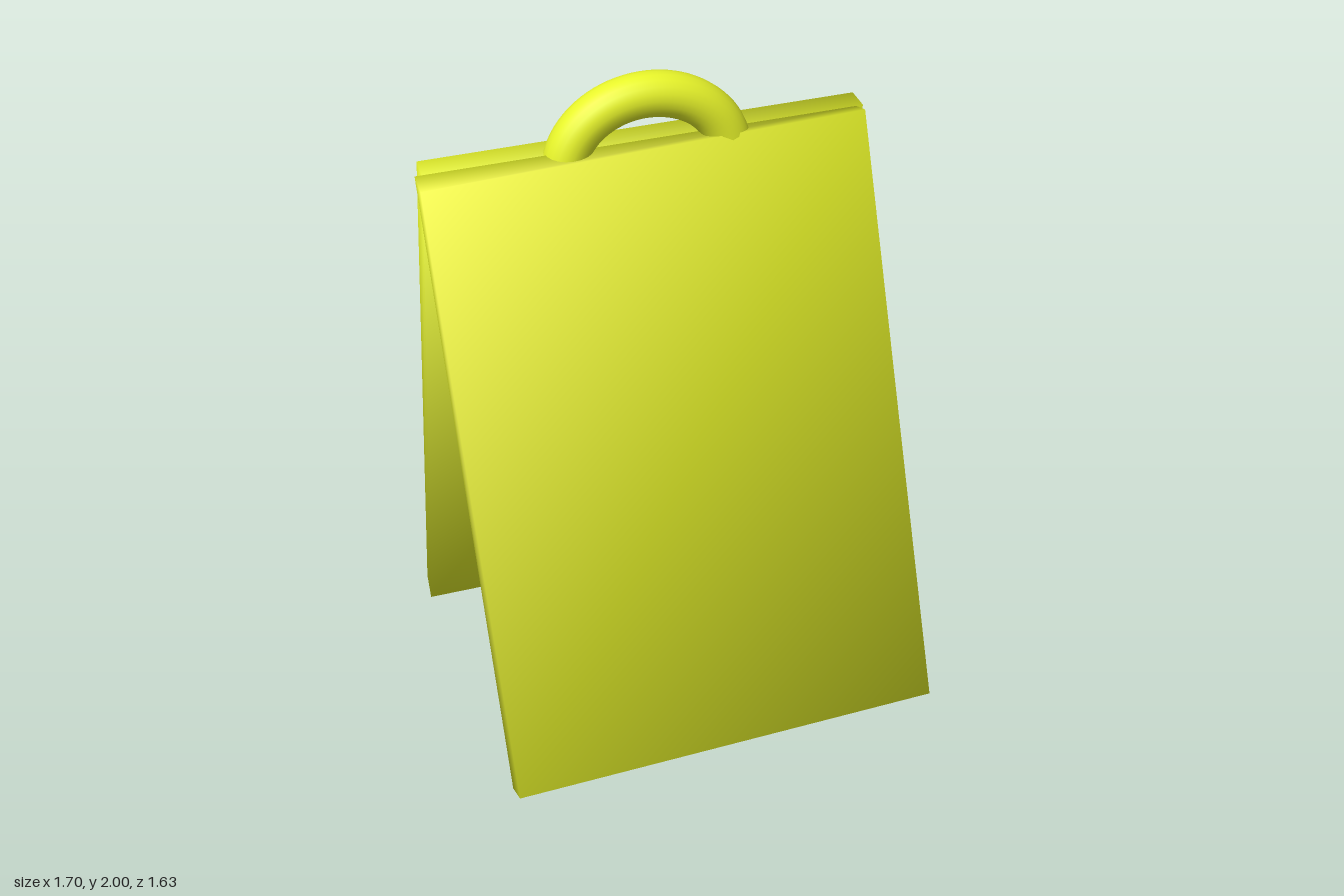
import * as THREE from 'three';

const material = new THREE.MeshStandardMaterial({ color: 0xe8f52a });

// Slab from eight corners, each face as [bottom left, bottom right, top left, top right],
// with normals averaged at the corners for soft shading.
function slab(name, back, front) {
  const geometry = new THREE.BoxGeometry(1, 1, 1);
  const pos = geometry.attributes.position;
  const ids = [];
  for (let i = 0; i < pos.count; i++) {
    const face = pos.getZ(i) > 0 ? 1 : 0;
    const k = (pos.getY(i) > 0 ? 2 : 0) + (pos.getX(i) > 0 ? 1 : 0);
    ids.push(face * 4 + k);
    pos.setXYZ(i, ...(face ? front : back)[k]);
  }
  geometry.computeVertexNormals();
  const normal = geometry.attributes.normal;
  const sums = Array.from({ length: 8 }, () => new THREE.Vector3());
  ids.forEach((id, i) => sums[id].add(new THREE.Vector3().fromBufferAttribute(normal, i)));
  sums.forEach((n) => n.normalize());
  ids.forEach((id, i) => normal.setXYZ(i, sums[id].x, sums[id].y, sums[id].z));
  const mesh = new THREE.Mesh(geometry, material);
  mesh.name = name;
  return mesh;
}

export function createModel() {
  const group = new THREE.Group();
  group.name = 'foldingFloorSign';

  // Two leaning boards that meet along the top
  group.add(slab('frontBoard',
    [[-0.41, 0.03, 0.75], [0.81, 0.05, 0.21], [-0.69, 1.78, 0.22], [0.54, 1.81, -0.3]],
    [[-0.38, 0.05, 0.815], [0.845, 0.08, 0.28], [-0.66, 1.77, 0.3], [0.565, 1.82, -0.25]]));
  group.add(slab('backBoard',
    [[-0.85, 0.03, -0.3], [0.38, 0.03, -0.82], [-0.7, 1.785, 0.13], [0.53, 1.82, -0.38]],
    [[-0.825, 0, -0.22], [0.41, 0.01, -0.74], [-0.67, 1.77, 0.21], [0.56, 1.81, -0.31]]));

  // Arched carrying handle
  const arch = [];
  for (let i = 0; i <= 16; i++) {
    const a = (i / 16) * Math.PI;
    arch.push(new THREE.Vector3(0.25 * Math.cos(a), 0.213 * Math.sin(a), 0));
  }
  const handle = new THREE.Mesh(
    new THREE.TubeGeometry(new THREE.CatmullRomCurve3(arch), 40, 0.067, 20), material);
  handle.name = 'handle';
  handle.position.set(-0.06, 1.72, -0.05);
  handle.rotation.y = 0.37;
  group.add(handle);

  return group;
}
